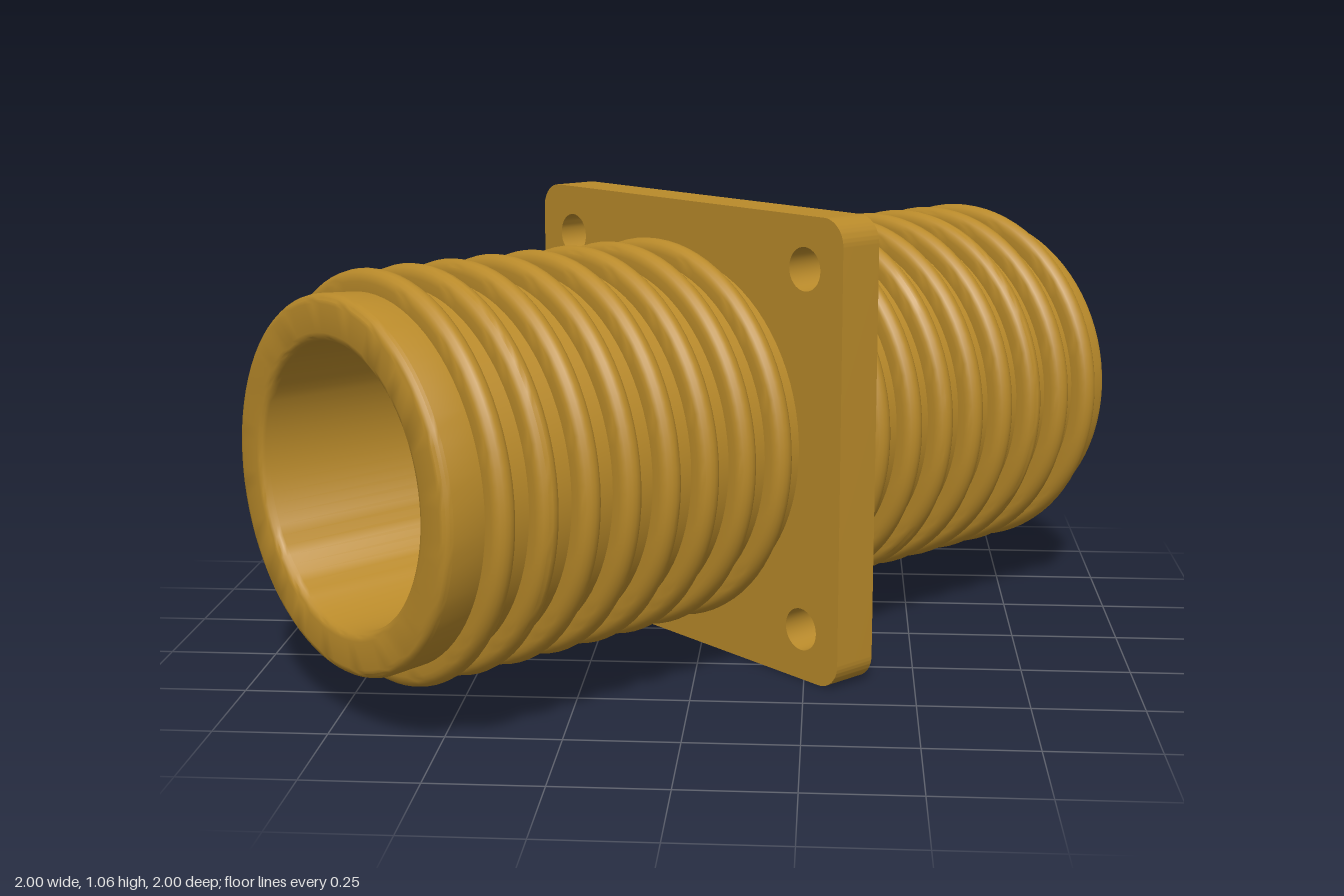
import * as THREE from 'three';
import { toCreasedNormals } from 'three/addons/utils/BufferGeometryUtils.js';

const FLANGE_BACK = -0.07, FLANGE_FRONT = 0.04; // flange faces along the axis
const END = 1.02, BODY_R = 0.4, BORE_R = 0.305, RIB_R = 0.447;
const RIBS = 8, PITCH = 0.107, RIB_HALF = 0.026, FILLET = 0.02;

// Points of an arc around (r, y), added to a profile
function arc(points, r, y, radius, from, to, steps) {
  for (let i = 0; i <= steps; i++) {
    const a = from + ((to - from) * i) / steps;
    points.push(new THREE.Vector2(r + radius * Math.cos(a), y + radius * Math.sin(a)));
  }
}

// Ribbed hollow barrel along +z, closed by a wall at the flange
function barrelGeometry(wall, firstRib) {
  const p = [new THREE.Vector2(BODY_R, wall - 0.01)];
  for (let i = 0; i < RIBS; i++) {
    const y = firstRib + i * PITCH;
    p.push(new THREE.Vector2(BODY_R, y - RIB_HALF));
    arc(p, RIB_R - RIB_HALF, y, RIB_HALF, -Math.PI / 2, Math.PI / 2, 8);
    p.push(new THREE.Vector2(BODY_R, y + RIB_HALF));
  }
  // rounded rim, bore and inner wall
  arc(p, BODY_R + 0.005 - FILLET, END - FILLET, FILLET, 0, Math.PI / 2, 4);
  arc(p, BORE_R + FILLET, END - FILLET, FILLET, Math.PI / 2, Math.PI, 4);
  p.push(new THREE.Vector2(BORE_R, wall), new THREE.Vector2(0, wall));
  const g = new THREE.LatheGeometry(p, 80).rotateX(Math.PI / 2);
  return toCreasedNormals(g, 0.6);
}

// Square plate with rounded corners and four bolt holes
function flangeGeometry() {
  const h = 0.53, r = 0.06, c = h - r;
  const s = new THREE.Shape();
  s.absarc(c, c, r, 0, Math.PI / 2);
  s.absarc(-c, c, r, Math.PI / 2, Math.PI);
  s.absarc(-c, -c, r, Math.PI, Math.PI * 1.5);
  s.absarc(c, -c, r, Math.PI * 1.5, Math.PI * 2);
  for (const x of [-0.412, 0.412]) for (const y of [-0.412, 0.412]) {
    s.holes.push(new THREE.Path().absarc(x, y, 0.049, 0, Math.PI * 2, true));
  }
  const g = new THREE.ExtrudeGeometry(s, {
    depth: FLANGE_FRONT - FLANGE_BACK, bevelEnabled: false, curveSegments: 16,
  }).translate(0, 0, FLANGE_BACK);
  return toCreasedNormals(g, 0.6);
}

export function createModel() {
  const material = new THREE.MeshStandardMaterial({ color: 0xb98a2a });
  const model = new THREE.Group();
  model.name = 'flangedAdapter';
  const add = (name, geometry) => {
    const mesh = new THREE.Mesh(geometry, material);
    mesh.name = name;
    model.add(mesh);
  };

  add('flange', flangeGeometry());
  add('backBarrel', barrelGeometry(FLANGE_FRONT, 0.165));
  add('frontBarrel', barrelGeometry(-FLANGE_BACK, 0.148).rotateY(Math.PI));

  // axis runs diagonally from front right to back left
  model.rotation.y = (Math.PI * 3) / 4;
  model.position.y = 0.53;
  const root = new THREE.Group();
  root.add(model);
  return root;
}
